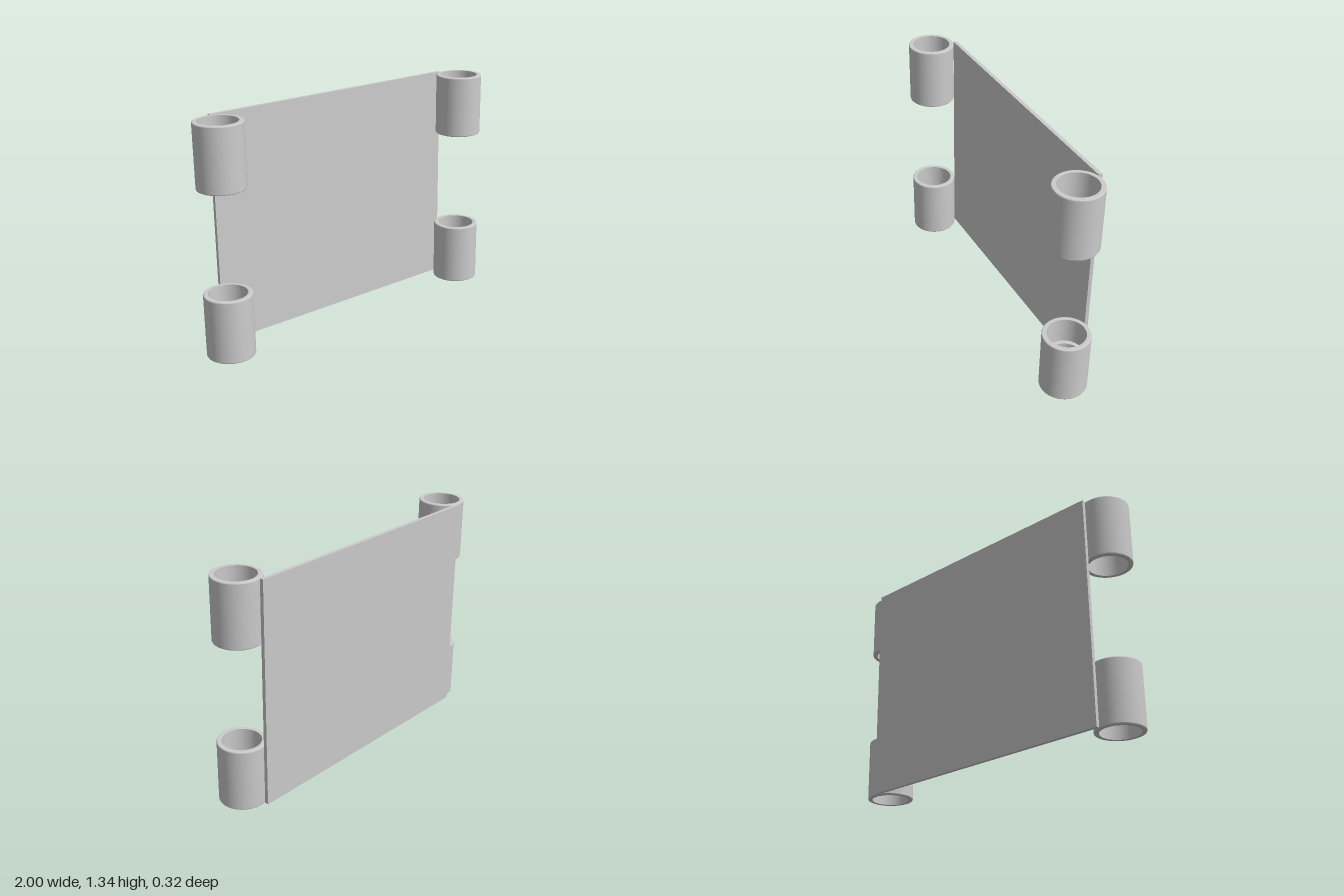
import * as THREE from 'three';

const TILT = 0.0225;       // whole rack leans back slightly
const HEIGHT = 1.331, SLEEVE = 0.366;
const R = 0.1365, BORE = 0.11, STOP = 0.085;

// Lathe profile drawn as separate segments so the edges stay crisp.
function sleeveGeometry() {
  const f = 0.006, mid = SLEEVE / 2, s = 0.03;
  const corners = [
    [BORE, 0], [R - f, 0], [R - f * 0.3, f * 0.3], [R, f],
    [R, SLEEVE - f], [R - f * 0.3, SLEEVE - f * 0.3], [R - f, SLEEVE],
    [BORE, SLEEVE], [BORE, mid + s], [STOP, mid + s],
    [STOP, mid - s], [BORE, mid - s], [BORE, 0],
  ];
  return corners.slice(1).map((p, i) =>
    new THREE.LatheGeometry([new THREE.Vector2(...corners[i]), new THREE.Vector2(...p)], 64));
}

export function createModel() {
  const model = new THREE.Group();
  const material = new THREE.MeshStandardMaterial({ color: 0xcccccc });

  // Leaning frame that carries the plate and the sleeves
  const frame = new THREE.Group();
  frame.name = 'leaningFrame';
  frame.position.set(0, 0.0036, 0.025);
  frame.rotation.x = -TILT;
  model.add(frame);

  // Thin back plate, touching the backs of the sleeves
  const thickness = 0.022;
  const plate = new THREE.Mesh(new THREE.BoxGeometry(1.66, HEIGHT, thickness), material);
  plate.name = 'backPlate';
  plate.position.set(0, HEIGHT / 2, -R - thickness / 2 + 0.001);
  frame.add(plate);

  // Four open sleeves with an inner stop ring, one at each corner
  const parts = sleeveGeometry();
  for (const [side, x] of [['left', 1 - R], ['right', R - 1]]) {
    for (const [level, y] of [['lower', 0], ['upper', HEIGHT - SLEEVE]]) {
      const sleeve = new THREE.Group();
      sleeve.name = `${level}Sleeve_${side}`;
      sleeve.position.set(x, y, 0);
      parts.forEach((g) => {
        const wall = new THREE.Mesh(g, material);
        wall.name = 'sleeveWall';
        sleeve.add(wall);
      });
      frame.add(sleeve);
    }
  }
  return model;
}
